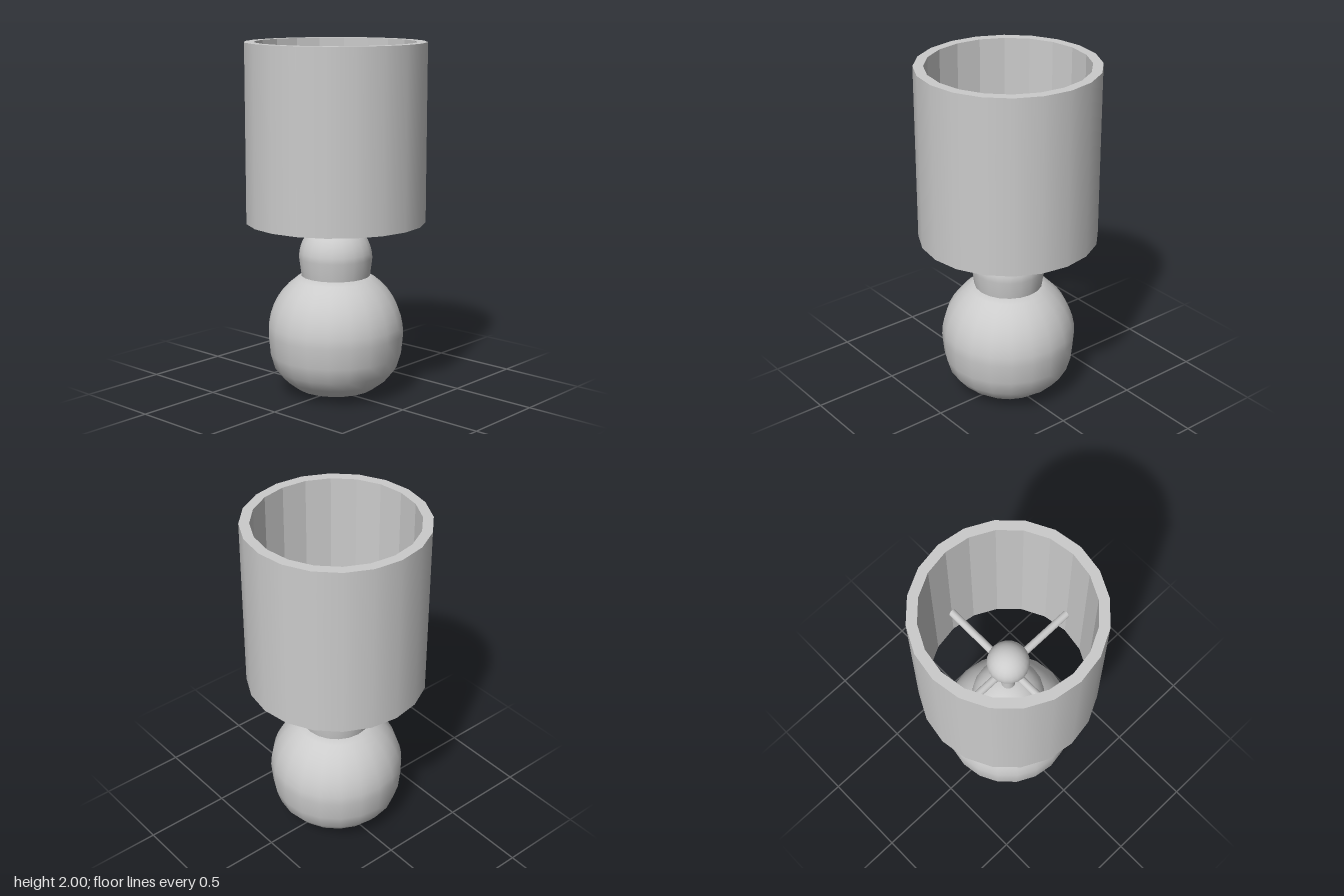
import * as THREE from 'three';

const SIDES = 20;

export function createModel() {
  const lamp = new THREE.Group();
  lamp.name = 'tableLamp';
  const smooth = new THREE.MeshStandardMaterial({ color: 0xcccccc });
  const flat = new THREE.MeshStandardMaterial({ color: 0xcccccc, flatShading: true });

  const add = (name, geometry, material = smooth) => {
    const mesh = new THREE.Mesh(geometry, material);
    mesh.name = name;
    lamp.add(mesh);
    return mesh;
  };
  const lathe = (points) =>
    new THREE.LatheGeometry(points.map(([r, y]) => new THREE.Vector2(r, y)), SIDES);
  // Points of a round profile from angle a to angle b, in degrees above the equator
  const arc = (radius, centreY, a, b, steps) =>
    Array.from({ length: steps + 1 }, (_, i) => {
      const t = THREE.MathUtils.degToRad(a + ((b - a) * i) / steps);
      return [Math.max(0, radius * Math.cos(t)), centreY + radius * Math.sin(t)];
    });

  // Base: large ball with a flattened underside, cut off by the neck ball
  add('baseBall', lathe([
    [0, 0], [0.12, 0.012], [0.228, 0.037], [0.3, 0.092], [0.35, 0.153], [0.376, 0.24],
    ...arc(0.387, 0.355, 0, 62, 8), [0, 0.7],
  ]));

  // Neck: smaller ball sunk into the base
  add('neckBall', lathe([[0.19, 0.66], [0.197, 0.7], ...arc(0.209, 0.791, 0, 90, 10)]));

  // Stem and finial inside the shade
  add('stem', new THREE.CylinderGeometry(0.04, 0.04, 0.32, SIDES)).position.y = 1.12;
  add('finial', new THREE.SphereGeometry(0.118, SIDES, 14)).position.y = 1.31;

  // Four spokes carrying the shade
  for (let i = 0; i < 4; i++) {
    const spoke = new THREE.CylinderGeometry(0.022, 0.022, 0.46, 12);
    spoke.rotateZ(Math.PI / 2).translate(0.23, 1.24, 0).rotateY((i * Math.PI) / 2);
    add('spoke' + (i + 1), spoke);
  }

  // Shade: thick open tube with a faceted lining and flat rims
  add('shadeOuter', lathe([[0.506, 1], [0.506, 2]]));
  add('shadeLining', lathe([[0.506, 2], [0.45, 2], [0.45, 1], [0.506, 1]]), flat);

  return lamp;
}
